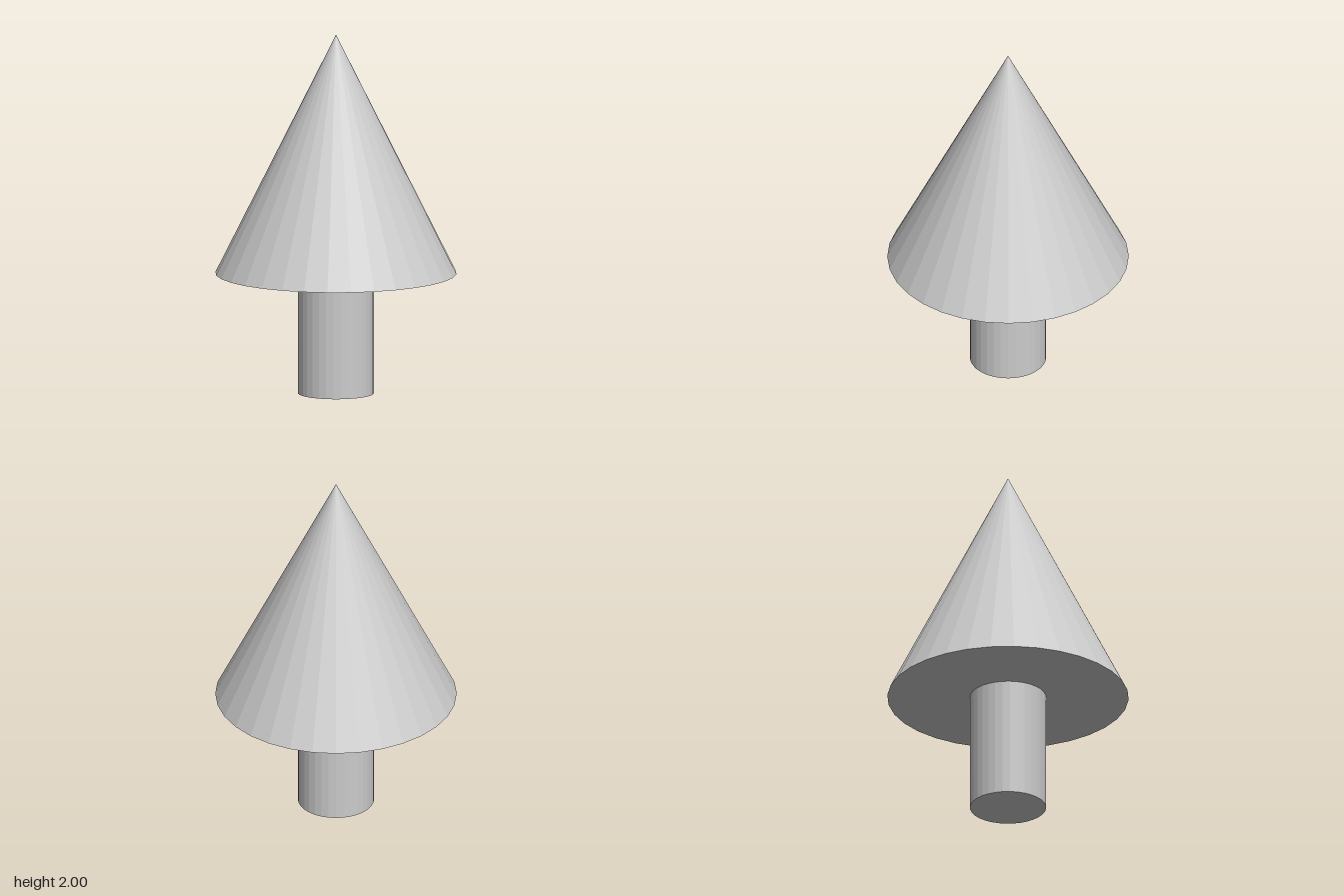
import * as THREE from 'three';

const SIDES = 32;
const TRUNK_RADIUS = 0.21;
const TRUNK_HEIGHT = 0.67;
const CROWN_RADIUS = 0.665;
const TOTAL_HEIGHT = 2;

export function createModel() {
  const group = new THREE.Group();
  group.name = 'tree';
  const material = new THREE.MeshStandardMaterial({ color: 0xcccccc, flatShading: true });

  // Place a part so that its base rests at the given height
  const addPart = (name, geometry, height, baseY) => {
    const mesh = new THREE.Mesh(geometry, material);
    mesh.name = name;
    mesh.position.y = baseY + height / 2;
    group.add(mesh);
  };

  // Trunk: faceted cylinder
  addPart('trunk', new THREE.CylinderGeometry(TRUNK_RADIUS, TRUNK_RADIUS, TRUNK_HEIGHT, SIDES), TRUNK_HEIGHT, 0);

  // Crown: faceted cone with a closed underside
  const crownHeight = TOTAL_HEIGHT - TRUNK_HEIGHT;
  addPart('crown', new THREE.ConeGeometry(CROWN_RADIUS, crownHeight, SIDES), crownHeight, TRUNK_HEIGHT);

  return group;
}
